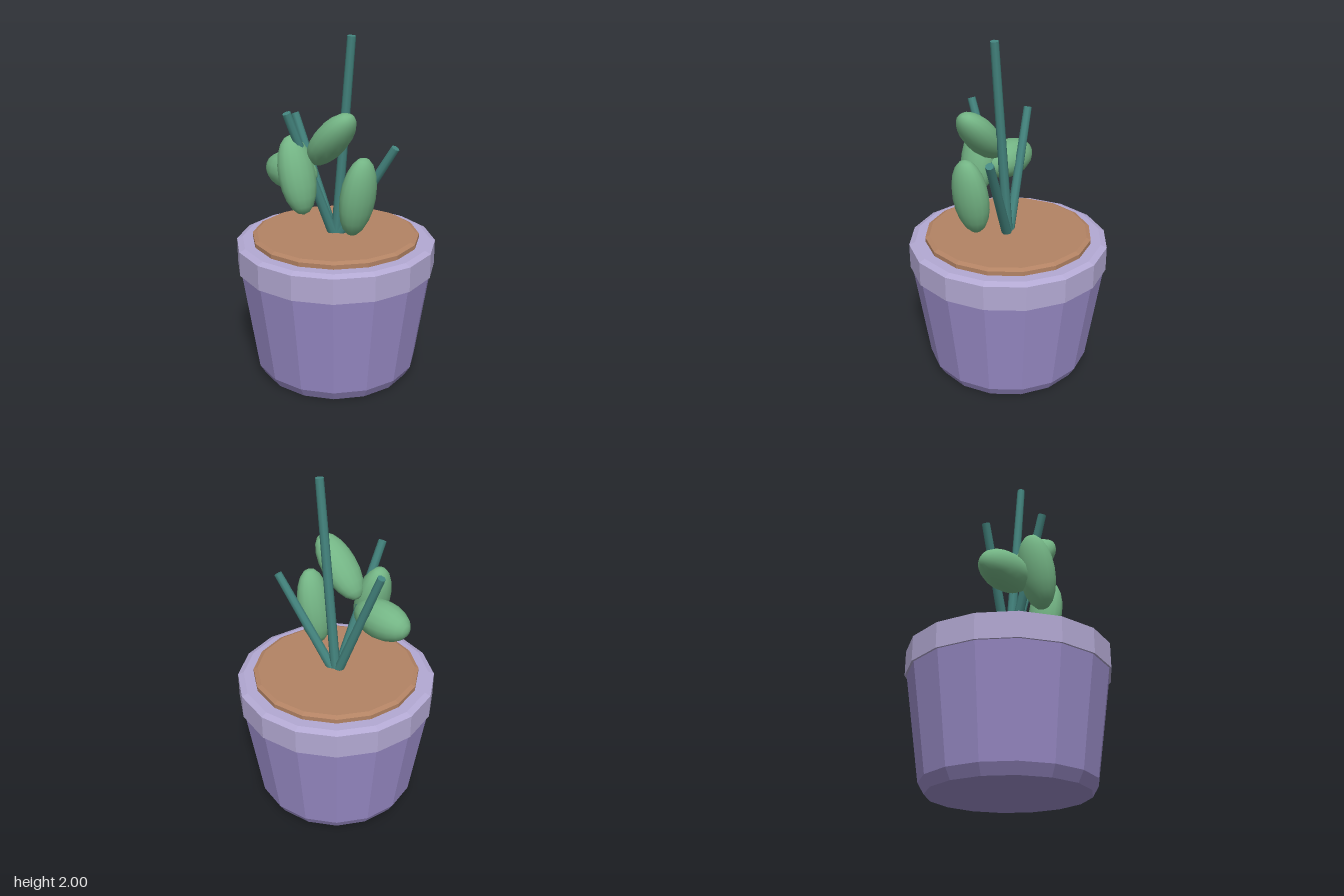
import * as THREE from 'three';

const mat = (name, color, flatShading = false) => {
  const m = new THREE.MeshStandardMaterial({ color, flatShading });
  m.name = name;
  return m;
};

export function createModel() {
  const model = new THREE.Group();
  model.name = 'pottedPlant';
  const potPurple = mat('potPurple', 0x9a8cc8, true);
  const rimLilac = mat('rimLilac', 0xb3a9d3, true);
  const soilBrown = mat('soilBrown', 0xb38364, true);
  const stemTeal = mat('stemTeal', 0x44857f);
  const leafGreen = mat('leafGreen', 0x74b585);

  const add = (name, geometry, material) => {
    const mesh = new THREE.Mesh(geometry, material);
    mesh.name = name;
    model.add(mesh);
    return mesh;
  };

  // Sixteen-sided turned parts, profile given as [radius, height] from bottom up
  const turned = (name, profile, material) =>
    add(name, new THREE.LatheGeometry(profile.map(([r, y]) => new THREE.Vector2(r, y)), 16), material);

  turned('potBody', [[0, 0], [0.45, 0], [0.485, 0.06], [0.575, 0.67], [0, 0.67]], potPurple);
  turned('potRim', [[0, 0.66], [0.585, 0.66], [0.585, 0.805], [0.55, 0.82], [0, 0.82]], rimLilac);
  turned('soil', [[0, 0.8], [0.49, 0.8], [0.49, 0.845], [0.465, 0.857], [0, 0.857]], soilBrown);

  // Straight stems fanning out from one root point
  const up = new THREE.Vector3(0, 1, 0);
  const root = new THREE.Vector3(0, 0.8, 0);
  [[0.123, 1.997, 0], [-0.28, 1.53, 0.06], [-0.063, 1.595, 0.307], [0.343, 1.4, -0.126]].forEach((p, i) => {
    const tip = new THREE.Vector3(...p);
    const dir = tip.clone().sub(root);
    const stem = add(`stem${i + 1}`, new THREE.CylinderGeometry(0.024, 0.03, dir.length(), 8), stemTeal);
    stem.position.copy(root).add(tip).multiplyScalar(0.5);
    stem.quaternion.setFromUnitVectors(up, dir.normalize());
  });

  // Plump leaves: centre, half sizes (thickness, length, width), lean about z
  [
    [[0.095, 1.445, 0.125], [0.088, 0.215, 0.112], -0.77],
    [[-0.215, 1.21, 0.15], [0.113, 0.19, 0.113], 1.57],
    [[-0.05, 1.24, 0.25], [0.095, 0.226, 0.112], 0.26],
    [[0.255, 1.142, 0.075], [0.088, 0.236, 0.112], -0.19],
  ].forEach(([centre, size, lean], i) => {
    const leaf = add(`leaf${i + 1}`, new THREE.SphereGeometry(1, 16, 10), leafGreen);
    leaf.position.set(...centre);
    leaf.scale.set(...size);
    leaf.rotation.z = lean;
  });

  return model;
}
